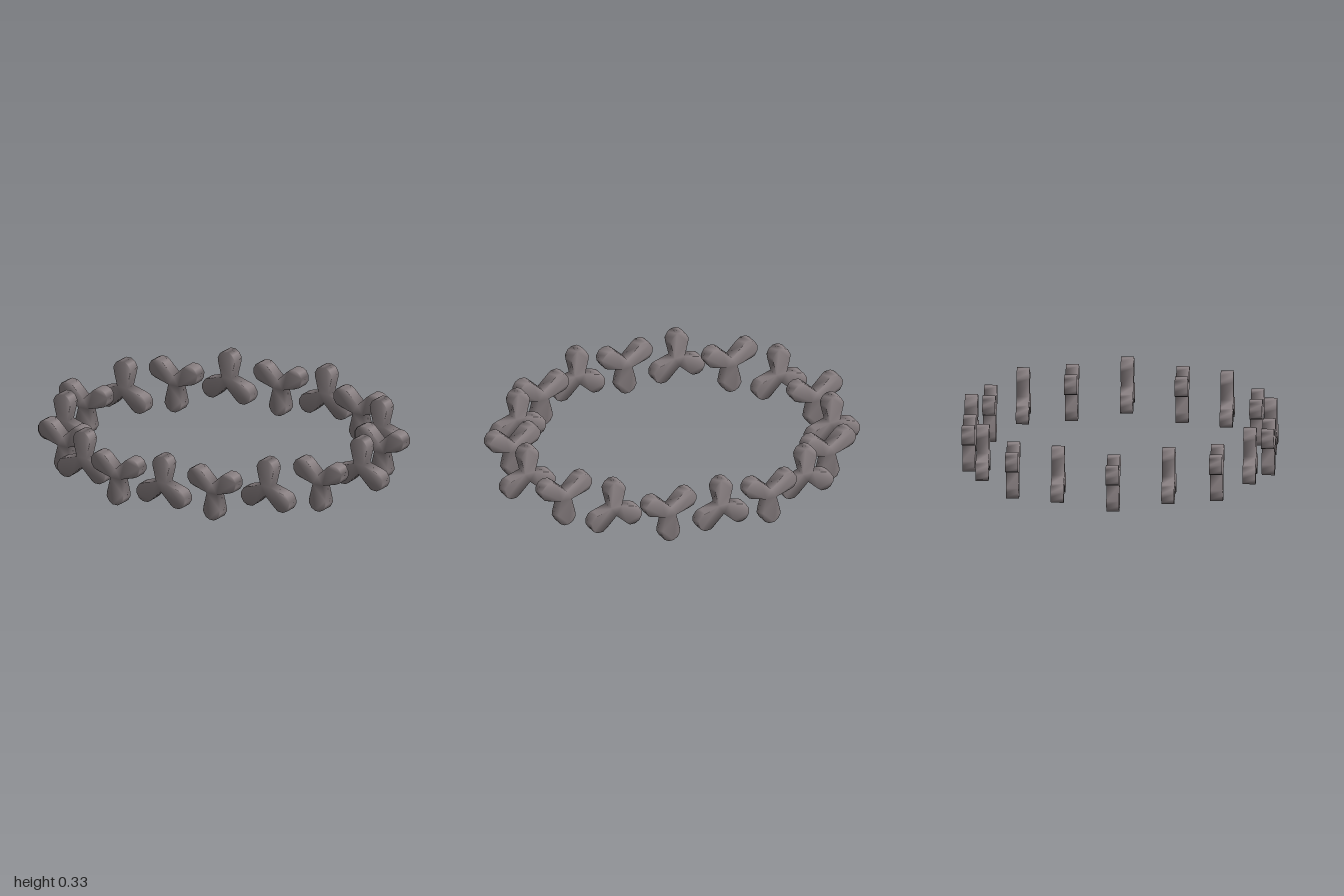
import * as THREE from 'three';
import { mergeVertices } from 'three/addons/utils/BufferGeometryUtils.js';

const DEPTH = 0.067;
const CENTRE_Y = 0.164;

// Half of one arm from its neck to its tip: [sideways, outwards]
const HALF_ARM = [[0.05, 0.098], [0.053, 0.122], [0.038, 0.15], [0.015, 0.164]];

// Three-lobed plate, one lobe pointing up, with normals shared round the rim
function trefoilGeometry() {
  const points = [];
  for (let i = 0; i < 3; i++) {
    const a = Math.PI / 2 + i * Math.PI * 2 / 3;
    const place = (u, v) => points.push(new THREE.Vector2(
      v * Math.cos(a) + u * Math.sin(a), v * Math.sin(a) - u * Math.cos(a)));
    place(0.03, 0.0173); // valley between two arms
    HALF_ARM.forEach(([u, v]) => place(u, v));
    [...HALF_ARM].reverse().forEach(([u, v]) => place(-u, v));
  }
  const geometry = new THREE.ExtrudeGeometry(new THREE.Shape(points), { depth: DEPTH, bevelEnabled: false });
  geometry.translate(0, 0, -DEPTH / 2);
  geometry.deleteAttribute('normal');
  geometry.deleteAttribute('uv');
  const merged = mergeVertices(geometry, 1e-4);
  merged.computeVertexNormals();
  return merged;
}

// Rows from front to back: [z, left-hand x, right-hand x] as seen from the front
const ROWS = [
  [0.778, -0.152, 0.13],
  [0.694, -0.415, 0.39],
  [0.53, -0.638, 0.616],
  [0.288, -0.797, 0.783],
  [0, -0.852, 0.852],
  [-0.288, -0.797, 0.793],
  [-0.532, -0.638, 0.631],
  [-0.696, -0.415, 0.397],
  [-0.78, -0.152, 0.131],
];

export function createModel() {
  const model = new THREE.Group();
  model.name = 'trefoilRing';
  const geometry = trefoilGeometry();
  const material = new THREE.MeshStandardMaterial({ color: 0x8a8183 });

  // Ring of plates, every second one turned upside down
  ROWS.forEach(([z, xNegative, xPositive], row) => {
    [xNegative, xPositive].forEach((x, side) => {
      const plate = new THREE.Mesh(geometry, material);
      const upright = (row + side) % 2 === 1;
      plate.name = upright ? 'uprightTrefoil' : 'invertedTrefoil';
      plate.position.set(x, CENTRE_Y, z);
      plate.rotation.z = upright ? 0 : Math.PI;
      model.add(plate);
    });
  });
  return model;
}
